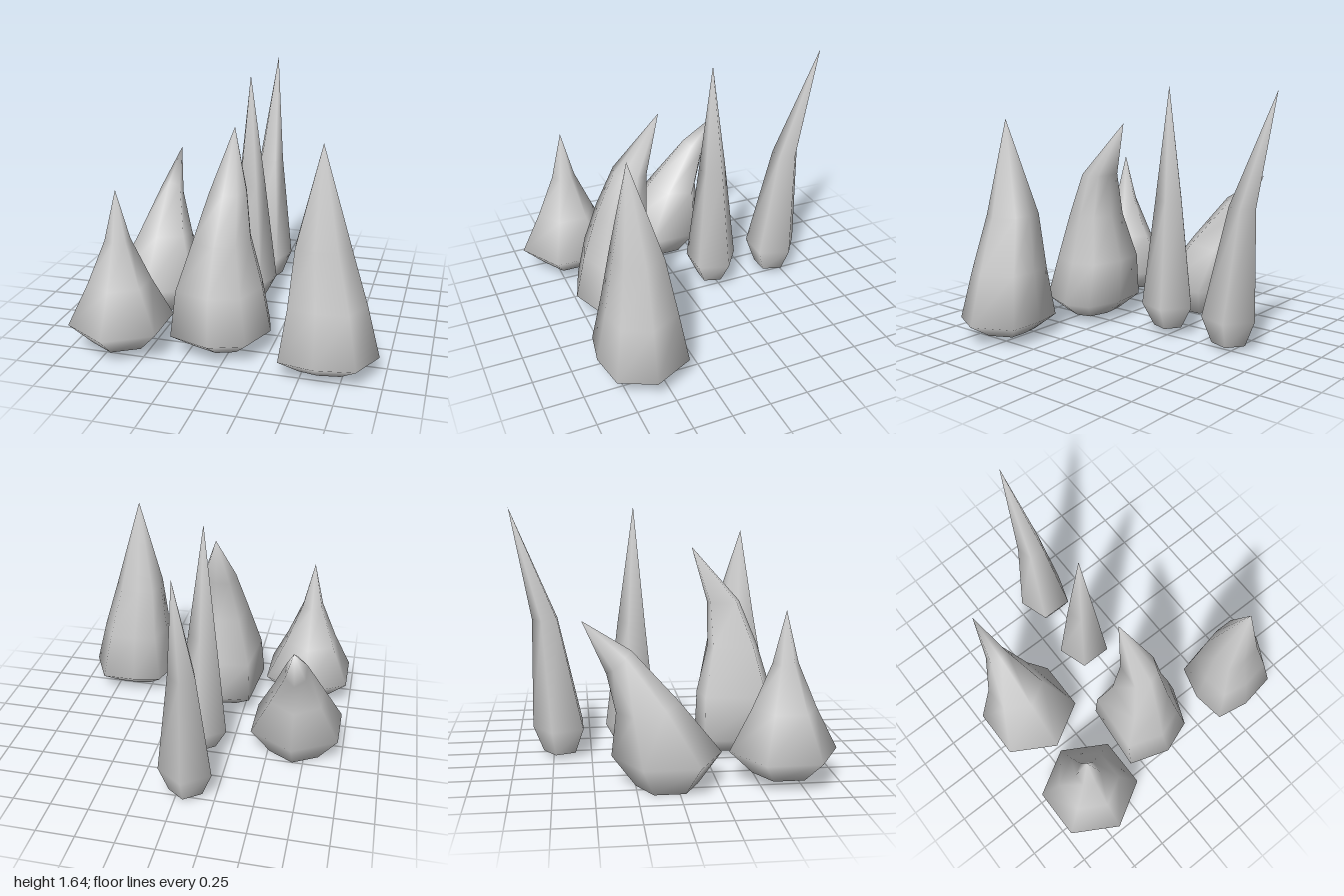
import * as THREE from 'three';

// Regular outline with a unit radius; turn = angle of the first corner from +z
function polygon(sides, turn) {
  return Array.from({ length: sides }, (_, i) => {
    const a = turn + (i / sides) * Math.PI * 2;
    return [Math.sin(a), Math.cos(a)];
  });
}

// Lofts an outline through rings [x, y, z, scale, tilt] up to a pointed tip
function spike(name, outline, rings, tip) {
  const n = outline.length;
  const pos = [];
  const idx = [];
  for (const [cx, cy, cz, s, tilt = 0] of rings) {
    for (const [ox, oz] of outline) pos.push(cx + ox * s, cy + oz * s * tilt, cz + oz * s);
  }
  for (let j = 0; j < rings.length - 1; j++) {
    for (let i = 0; i < n; i++) {
      const a = j * n + i, b = j * n + ((i + 1) % n);
      idx.push(a, b, b + n, a, b + n, a + n);
    }
  }
  const top = (rings.length - 1) * n;
  const tipIndex = pos.length / 3;
  pos.push(...tip);
  for (let i = 0; i < n; i++) idx.push(top + i, top + ((i + 1) % n), tipIndex);

  // Flat underside with its own corners, so its rim stays sharp
  const base = pos.length / 3;
  pos.push(...pos.slice(0, n * 3));
  for (let i = 1; i < n - 1; i++) idx.push(base, base + i + 1, base + i);

  const geo = new THREE.BufferGeometry();
  geo.setAttribute('position', new THREE.Float32BufferAttribute(pos, 3));
  geo.setIndex(idx);
  geo.computeVertexNormals();
  const mesh = new THREE.Mesh(geo, new THREE.MeshStandardMaterial({ color: 0xcccccc }));
  mesh.name = name;
  return mesh;
}

export function createModel() {
  const group = new THREE.Group();
  group.name = 'spikes';
  const hexagon = polygon(6, 0);
  const pentagon = polygon(5, Math.PI);

  // Squat, upright
  group.add(spike('shortStraightSpike', hexagon, [
    [-0.68, 0.055, 0.655, 0.19], [-0.68, 0.195, 0.655, 0.335],
    [-0.68, 0.46, 0.655, 0.2], [-0.68, 0.74, 0.655, 0.08],
  ], [-0.68, 1.06, 0.655]));

  // Squat, tip hooked to the back
  group.add(spike('shortBentSpike', hexagon, [
    [-0.68, 0, -0.06, 0.19], [-0.68, 0.195, -0.06, 0.335],
    [-0.68, 0.49, -0.175, 0.19, 0.15], [-0.68, 0.77, -0.345, 0.075, 0.9],
  ], [-0.68, 1.02, -0.56]));

  // Broad, uneven, leaning to the back
  const bentOutline = [
    [-0.02, 0.3], [0.2, 0.22], [0.3, -0.03], [0.25, -0.21],
    [0, -0.28], [-0.25, -0.25], [-0.29, 0.21],
  ];
  group.add(spike('broadBentSpike', bentOutline, [
    [-0.05, 0.03, 0.47, 0.55], [-0.05, 0.135, 0.48, 1],
    [-0.07, 0.42, 0.45, 0.86], [-0.06, 0.73, 0.44, 0.57],
    [-0.04, 1.02, 0.38, 0.37],
  ], [-0.06, 1.38, 0.17]));

  // Broad, uneven, upright
  const uprightOutline = [
    [-0.02, 0.26], [0.23, 0.22], [0.34, 0], [0.21, -0.26],
    [-0.02, -0.26], [-0.21, -0.22], [-0.27, 0], [-0.24, 0.22],
  ];
  group.add(spike('broadStraightSpike', uprightOutline, [
    [0.62, 0.03, 0.6, 0.55], [0.62, 0.125, 0.6, 1],
    [0.61, 0.45, 0.59, 0.78], [0.58, 0.81, 0.58, 0.54],
  ], [0.59, 1.43, 0.62]));

  // Slim, upright
  group.add(spike('slimStraightSpike', pentagon, [
    [-0.06, 0.05, -0.22, 0.1], [-0.06, 0.2, -0.22, 0.18],
    [-0.06, 0.9, -0.22, 0.095],
  ], [-0.06, 1.64, -0.21]));

  // Slim, tip leaning to the back
  group.add(spike('slimBentSpike', pentagon, [
    [-0.06, 0.03, -0.7, 0.115], [-0.06, 0.2, -0.7, 0.182],
    [-0.06, 0.92, -0.78, 0.09],
  ], [-0.06, 1.64, -1]));

  return group;
}
